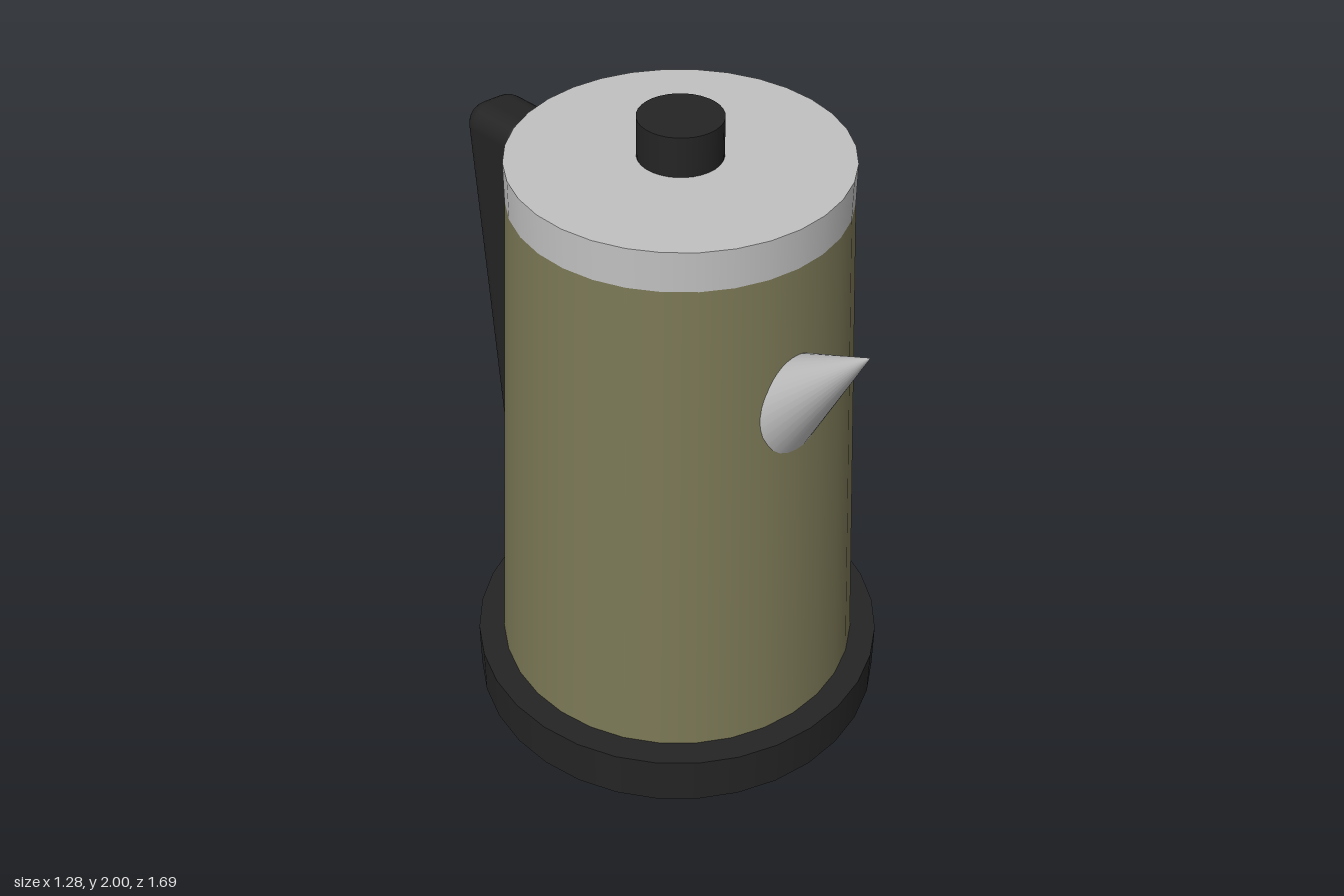
import * as THREE from 'three';
import { RoundedBoxGeometry } from 'three/addons/geometries/RoundedBoxGeometry.js';

const AXIS_Z = 0.085; // the pot sits slightly forward of centre

function material(name, color) {
  const m = new THREE.MeshStandardMaterial({ color });
  m.name = name;
  return m;
}

export function createModel() {
  const olive = material('olive', 0x7a7755);
  const steel = material('steel', 0xc0c0c0);
  const black = material('black', 0x242424);
  const red = material('dull red', 0x7d3e3e);

  const group = new THREE.Group();
  group.name = 'kettle';

  function add(name, geometry, mat, y, z) {
    const mesh = new THREE.Mesh(geometry, mat);
    mesh.name = name;
    mesh.position.set(0, y, z);
    group.add(mesh);
    return mesh;
  }

  // Stacked round parts: name, top radius, bottom radius, bottom y, top y
  const rounds = [
    ['base', 0.64, 0.64, 0, 0.16, black],
    ['body', 0.48, 0.56, 0.16, 1.76, olive],
    ['lid', 0.48, 0.48, 1.76, 1.88, steel],
    ['lidKnob', 0.12, 0.12, 1.88, 2, black],
  ];
  for (const [name, top, bottom, y0, y1, mat] of rounds) {
    add(name, new THREE.CylinderGeometry(top, bottom, y1 - y0, 32), mat, (y0 + y1) / 2, AXIS_Z);
  }

  // Cone spout pointing up and forward, its base buried in the body
  const spout = add('spout', new THREE.ConeGeometry(0.165, 0.56, 32), steel, 1.437, 0.647);
  spout.rotation.x = Math.PI / 4;

  // Leaning rounded handle with the switch below it
  const handle = add('handle', new RoundedBoxGeometry(0.2, 1.28, 0.31, 4, 0.07), black, 1.043, -0.644);
  handle.rotation.x = -0.087;
  add('switch', new THREE.BoxGeometry(0.12, 0.16, 0.08), red, 0.363, -0.511);

  return group;
}
